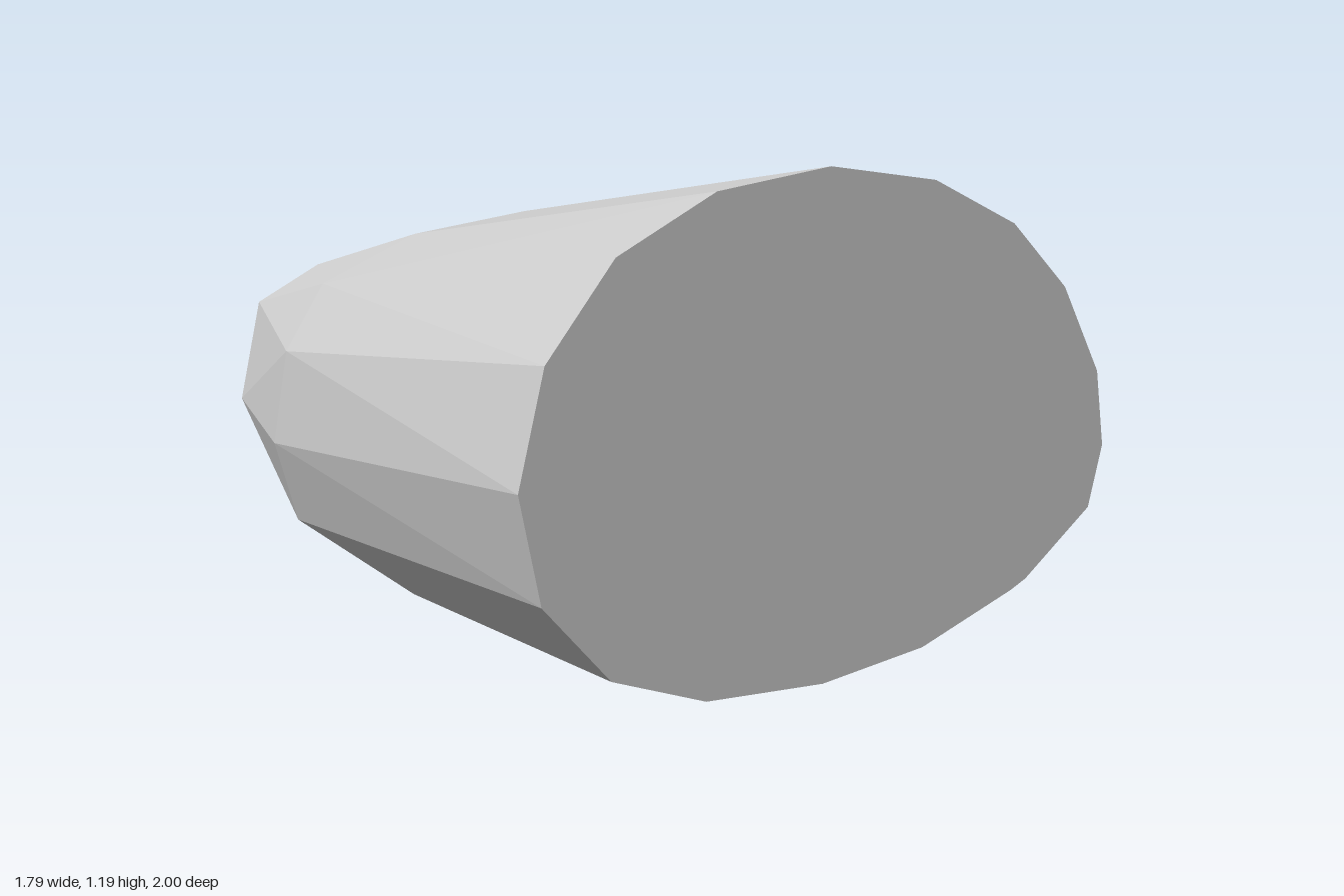
import * as THREE from 'three';
import { ConvexGeometry } from 'three/addons/geometries/ConvexGeometry.js';

// Flat end of the stone: [z, y] outline in the plane x = RIM_X
const RIM_X = 0.89;
const rim = [
  [1.0, 0.57], [0.93, 0.82], [0.74, 1.025], [0.45, 1.15], [0.09, 1.195], [-0.28, 1.155],
  [-0.59, 1.04], [-0.81, 0.87], [-0.965, 0.64], [-1.0, 0.44], [-0.945, 0.28], [-0.68, 0.13],
  [-0.62, 0.11], [-0.27, 0.025], [0.09, 0.005], [0.47, 0.04], [0.75, 0.14], [0.94, 0.33],
];

// Shoulder facets, running from the front over the top to the back: [x, y, z]
const shoulder = [
  [-0.2, 0.32, 0.8], [-0.19, 0.52, 0.87], [-0.16, 0.745, 0.85], [-0.17, 0.9, 0.735],
  [-0.15, 1.01, 0.47], [-0.13, 1.055, 0.13], [-0.12, 1.02, -0.21], [-0.11, 0.93, -0.48],
  [-0.22, 0.77, -0.62], [-0.44, 0.58, -0.59],
];

// Narrowing facets and blunt tip
const nose = [
  [-0.35, 0.265, 0.6], [-0.47, 0.59, 0.785], [-0.49, 0.83, 0.715], [-0.45, 0.92, 0.56],
  [-0.485, 0.945, 0.26], [-0.47, 0.925, -0.1], [-0.41, 0.86, -0.4], [-0.55, 0.7, -0.44],
  [-0.61, 0.53, -0.36], [-0.67, 0.645, 0.62], [-0.73, 0.505, 0.5], [-0.7, 0.785, 0.41],
  [-0.71, 0.78, 0.06], [-0.75, 0.65, -0.08], [-0.66, 0.4, 0.26],
  [-0.885, 0.66, 0.375], [-0.9, 0.585, 0.29],
];

// Underside facets
const underside = [
  [0.7, 0.02, -0.1], [0.17, 0.09, 0.1], [0.17, 0.11, 0.4], [0.11, 0.17, 0.68],
  [0.15, 0.11, -0.2], [0.1, 0.165, -0.46], [-0.1, 0.34, -0.62],
  [-0.24, 0.19, 0.2], [-0.24, 0.24, -0.22],
];

export function createModel() {
  const group = new THREE.Group();
  group.name = 'stone';

  const grey = new THREE.MeshStandardMaterial({ color: 0xcccccc });
  grey.name = 'light grey';

  const points = [
    ...rim.map(([z, y]) => new THREE.Vector3(RIM_X, y, z)),
    ...[...shoulder, ...nose, ...underside].map((p) => new THREE.Vector3(...p)),
  ];

  // Faceted body with its flat cut end
  const body = new THREE.Mesh(new ConvexGeometry(points), grey);
  body.name = 'stoneBody';
  group.add(body);
  return group;
}
